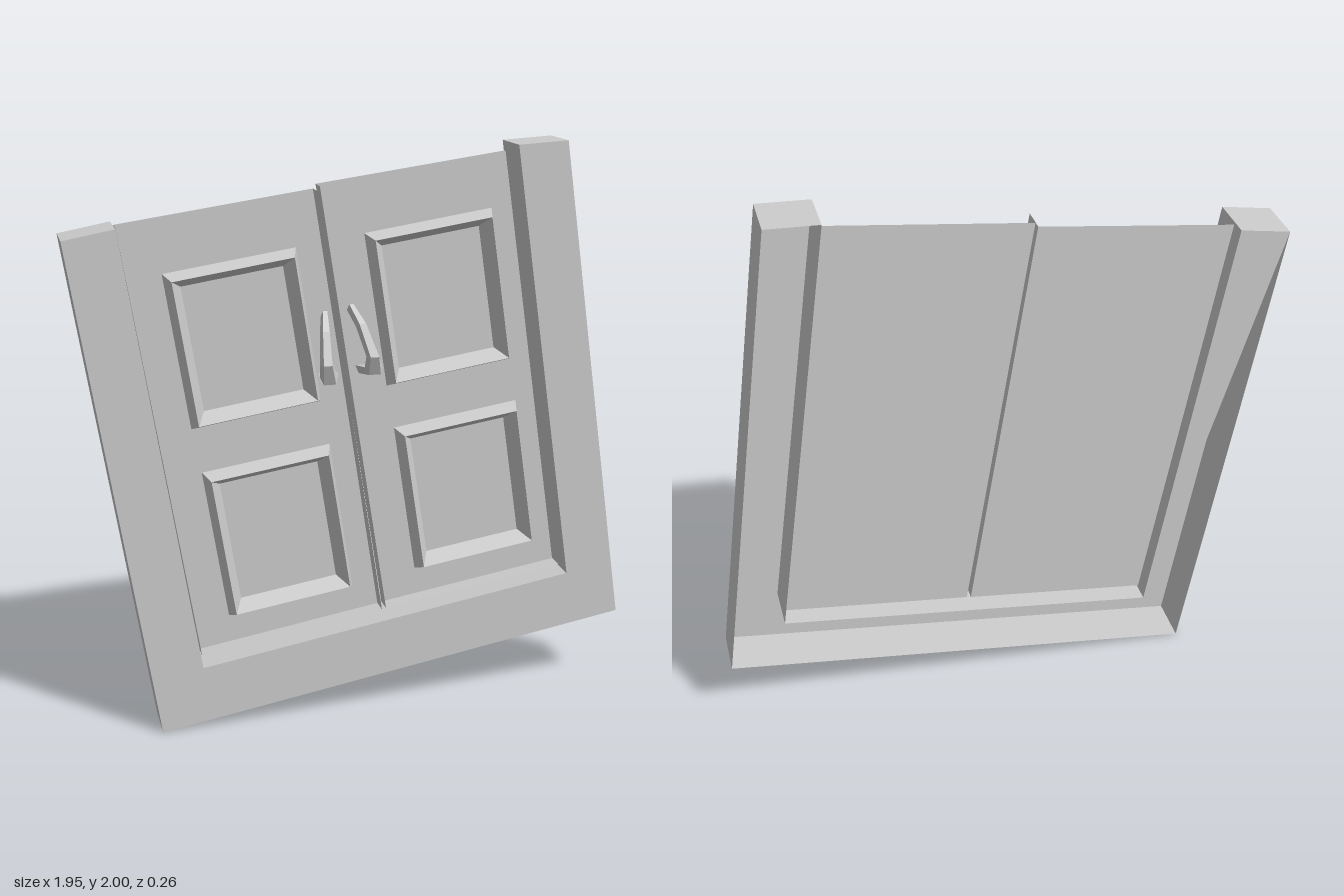
import * as THREE from 'three';

const TILT = 0.15; // lean of the whole doorway
const FRONT = 0.036, BACK = -0.124; // frame depth
const DOOR_RIM = -0.015, DOOR_BACK = -0.077;

export function createModel() {
  const grey = new THREE.MeshStandardMaterial({ color: 0xcccccc, side: THREE.DoubleSide, flatShading: true });
  grey.name = 'plain grey';

  const model = new THREE.Group();
  model.name = 'doubleDoor';
  model.rotation.y = 0.0085;

  const add = (parent, name, geometry) => {
    const mesh = new THREE.Mesh(geometry, grey);
    mesh.name = name;
    parent.add(mesh);
    return mesh;
  };
  const group = (name) => {
    const g = new THREE.Group();
    g.name = name;
    model.add(g);
    return g;
  };

  // Skin between successive rows of [x, y, z] points
  function skin(rows, closed) {
    const pos = [];
    for (let r = 0; r + 1 < rows.length; r++) {
      const a = rows[r], b = rows[r + 1], n = a.length;
      for (let i = 0; i < (closed ? n : n - 1); i++) {
        const j = (i + 1) % n;
        pos.push(...a[i], ...a[j], ...b[j], ...a[i], ...b[j], ...b[i]);
      }
    }
    const g = new THREE.BufferGeometry();
    g.setAttribute('position', new THREE.Float32BufferAttribute(pos, 3));
    g.computeVertexNormals();
    return g;
  }
  const atZ = (pts, z) => pts.map(([x, y]) => [x, y, z]);
  const plate = (pts, z) =>
    new THREE.ShapeGeometry(new THREE.Shape(pts.map((p) => new THREE.Vector2(...p)))).translate(0, 0, z);

  // U-shaped frame, hollow behind
  const outline = [
    [-0.72, 0], [0.97, 0.275], [0.71, 2], [0.535, 1.99],
    [0.768, 0.443], [-0.572, 0.228], [-0.805, 1.766], [-0.977, 1.735],
  ];
  const frame = group('frame');
  add(frame, 'frameFace', plate(outline, FRONT));
  add(frame, 'frameWalls', skin([atZ(outline, FRONT), atZ(outline, BACK)], true));
  add(frame, 'postBackPiece', plate([outline[7], outline[5], outline[6]], BACK));

  // Shallow doors with rims on three sides, corners from top left anticlockwise
  const doors = {
    rightDoor: [[-0.8, 1.762], [-0.567, 0.25], [0.085, 0.354], [-0.141, 1.855]],
    leftDoor: [[-0.132, 1.87], [0.1, 0.358], [0.756, 0.46], [0.529, 1.96]],
  };
  for (const [name, corners] of Object.entries(doors)) {
    const door = group(name);
    add(door, 'doorBoard', plate(corners, DOOR_BACK));
    add(door, 'doorRim', skin([atZ(corners, DOOR_RIM), atZ(corners, DOOR_BACK)], false));
  }

  // Ridged panel mouldings
  const ring = (inset, z) => {
    const w = 0.2225 - inset, h = 0.2645 - inset;
    return [[-w, -h, z], [w, -h, z], [w, h, z], [-w, h, z]];
  };
  const moulding = skin([ring(0, 0.03), ring(0.02, 0.088), ring(0.052, 0.03)], true);
  const mouldings = group('panelMouldings');
  for (const [x, y] of [[-0.405, 1.387], [0.265, 1.49], [-0.296, 0.71], [0.371, 0.816]]) {
    const m = add(mouldings, 'panelMoulding', moulding);
    m.position.set(x, y, 0);
    m.rotation.z = TILT;
  }

  // Tapered handles: spine points x, y, z and width
  const handles = {
    rightHandle: [
      [-0.126, 1.452, 0.012, 0.022], [-0.138, 1.4, 0.075, 0.034], [-0.142, 1.3, 0.112, 0.044],
      [-0.128, 1.24, 0.085, 0.062], [-0.115, 1.235, 0.012, 0.066],
    ],
    leftHandle: [
      [-0.036, 1.47, 0.012, 0.022], [-0.014, 1.42, 0.075, 0.034], [0.017, 1.32, 0.112, 0.044],
      [0.026, 1.265, 0.085, 0.062], [0.013, 1.255, 0.012, 0.066],
    ],
  };
  for (const [name, spine] of Object.entries(handles)) {
    const rows = spine.map(([x, y, z, w], i) => {
      const p = spine[Math.max(i - 1, 0)], q = spine[Math.min(i + 1, spine.length - 1)];
      const dy = q[1] - p[1], dz = q[2] - p[2], len = Math.hypot(dy, dz);
      const ny = (dz / len) * 0.014, nz = (-dy / len) * 0.014; // outward from the curve
      return [
        [x - w / 2, y - ny, z - nz], [x + w / 2, y - ny, z - nz],
        [x + w / 3, y + ny, z + nz], [x - w / 3, y + ny, z + nz],
      ];
    });
    add(group(name), 'handleGrip', skin(rows, true));
  }

  return model;
}
